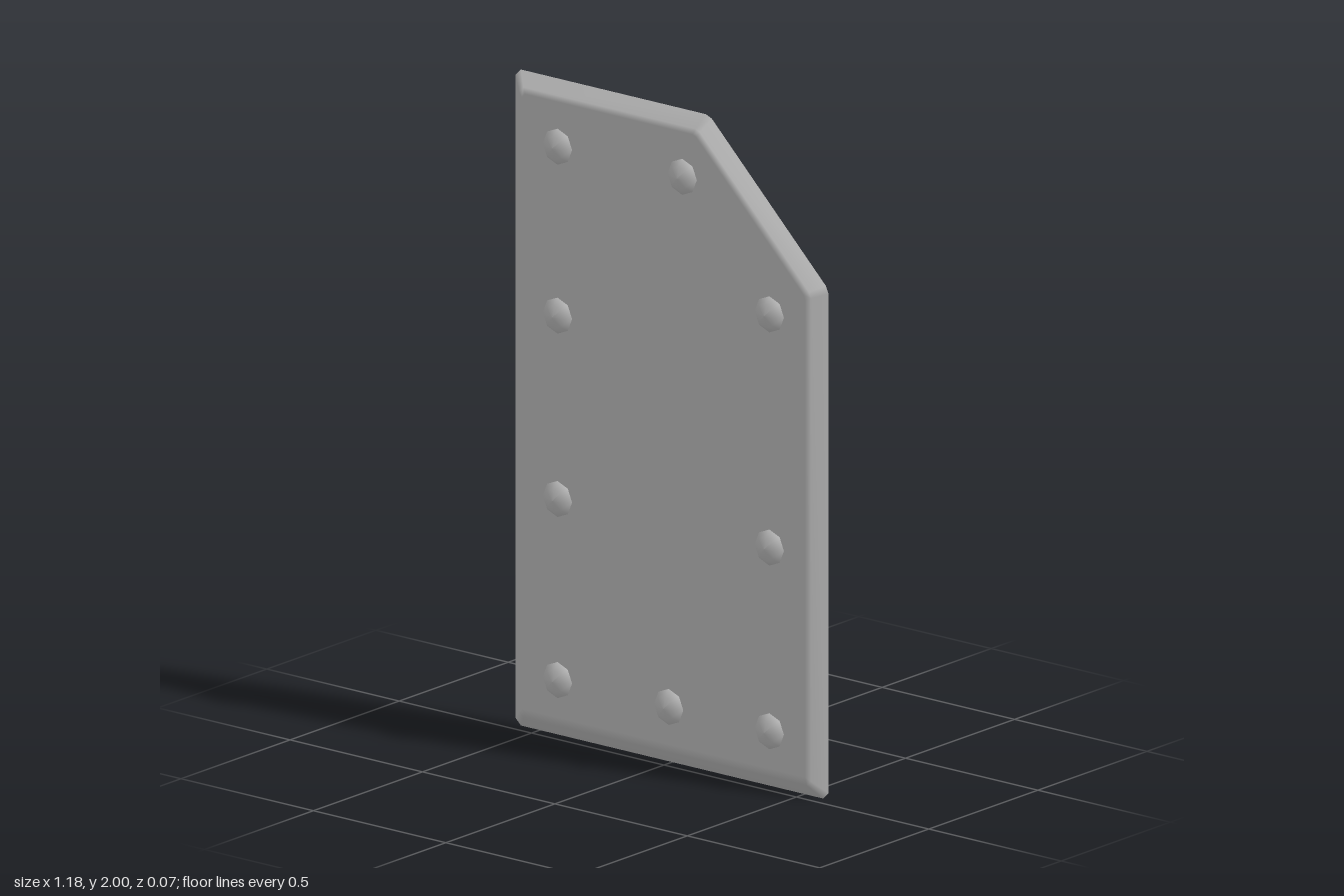
import * as THREE from 'three';

const steel = new THREE.MeshStandardMaterial({ color: 0xc6c6c6, side: THREE.DoubleSide });
steel.name = 'light grey steel';

// Plate corners, counter-clockwise from the front
const corners = [[-0.592, 0], [0.59, 0], [0.59, 1.555], [0.14, 2], [-0.592, 2]]
  .map(([x, y]) => new THREE.Vector2(x, y));

// Plate outline moved inwards by d, with each corner clipped by c (less where it is blunt)
function outline(d, c) {
  const n = corners.length;
  return corners.flatMap((p, i) => {
    const a = p.clone().sub(corners[(i + n - 1) % n]).normalize();
    const b = corners[(i + 1) % n].clone().sub(p).normalize();
    const na = new THREE.Vector2(-a.y, a.x), nb = new THREE.Vector2(-b.y, b.x);
    const m = na.clone().add(nb).multiplyScalar(d / (1 + na.dot(nb)));
    const q = p.clone().add(m);
    const cut = c * (1 - 0.5 * a.dot(b));
    return [q.clone().addScaledVector(a, -cut), q.clone().addScaledVector(b, cut)];
  });
}

// Open-backed shell: sloped rim, narrow softened edge, flat face
function plateGeometry() {
  const rings = [[0, -0.038, 0.02], [0.04, -0.006, 0.016], [0.056, 0.002, 0.012]];
  const pos = [], idx = [];
  for (const [d, z, c] of rings) for (const p of outline(d, c)) pos.push(p.x, p.y, z);
  const n = corners.length * 2;
  for (let r = 0; r < rings.length - 1; r++) {
    for (let i = 0; i < n; i++) {
      const j = (i + 1) % n, a = r * n + i, b = r * n + j;
      idx.push(a, b, b + n, a, b + n, a + n);
    }
  }
  const f = (rings.length - 1) * n;
  for (let i = 1; i < n - 1; i++) idx.push(f, f + i, f + i + 1);
  const g = new THREE.BufferGeometry();
  g.setAttribute('position', new THREE.Float32BufferAttribute(pos, 3));
  g.setIndex(idx);
  g.computeVertexNormals();
  return g;
}

export function createModel() {
  const model = new THREE.Group();
  model.name = 'rivetedPlate';

  const plate = new THREE.Mesh(plateGeometry(), steel);
  plate.name = 'plate';
  model.add(plate);

  // Eight-sided domed rivet heads
  const profile = [[0.055, 0.011], [0.036, 0.029], [0, 0.036]].map(([r, h]) => new THREE.Vector2(r, h));
  const head = new THREE.LatheGeometry(profile, 8).rotateX(Math.PI / 2);
  const spots = [
    [-0.393, 1.811], [0.078, 1.811], [0.407, 1.456], [-0.393, 1.296], [-0.393, 0.737],
    [0.407, 0.745], [-0.393, 0.185], [0.027, 0.185], [0.407, 0.185],
  ];
  const rivets = new THREE.Group();
  rivets.name = 'rivets';
  spots.forEach(([x, y], i) => {
    const rivet = new THREE.Mesh(head, steel);
    rivet.name = `rivet${i + 1}`;
    rivet.position.set(x, y, 0);
    rivets.add(rivet);
  });
  model.add(rivets);
  return model;
}
